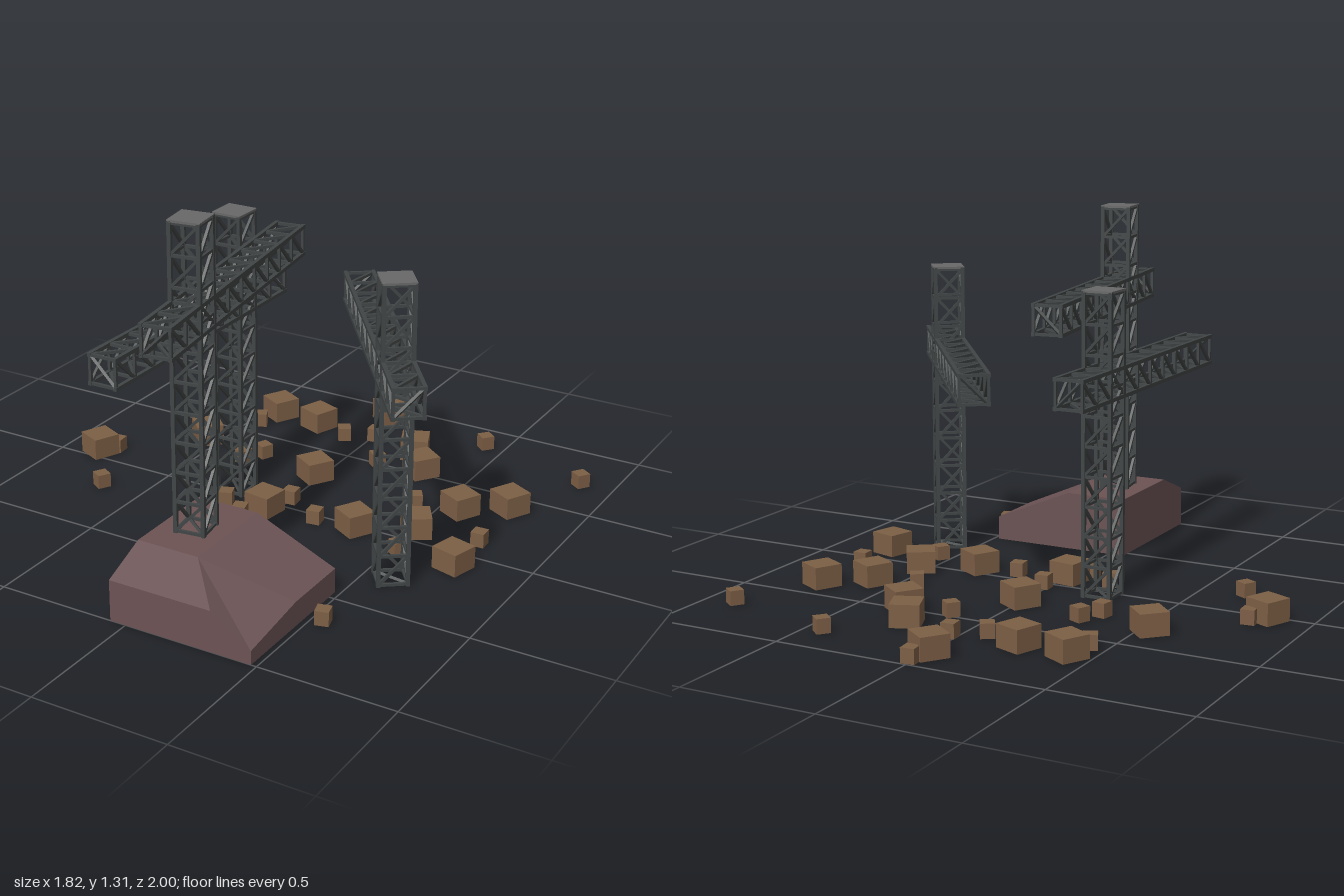
import * as THREE from 'three';
import { mergeGeometries } from 'three/addons/utils/BufferGeometryUtils.js';

const steel = new THREE.MeshStandardMaterial({ color: 0x414545 });
const plate = new THREE.MeshStandardMaterial({ color: 0x686868 });
const wood = new THREE.MeshStandardMaterial({ color: 0x7d5f46 });
const stone = new THREE.MeshStandardMaterial({ color: 0x6c5354, flatShading: true });

const WIDTH = 0.115, LENGTH = 1.09, CELLS = 10, CHORD = 0.014, BRACE = 0.01;

// Square bar between two points
function bar(a, b, t) {
  const dir = new THREE.Vector3().subVectors(b, a);
  const g = new THREE.BoxGeometry(t, dir.length(), t);
  g.applyQuaternion(new THREE.Quaternion().setFromUnitVectors(new THREE.Vector3(0, 1, 0), dir.normalize()));
  const mid = new THREE.Vector3().addVectors(a, b).multiplyScalar(0.5);
  return g.translate(mid.x, mid.y, mid.z);
}

// Lattice beam standing on the origin along +y
function trussGeometry() {
  const r = (WIDTH - CHORD) / 2, low = CHORD / 2, step = (LENGTH - CHORD) / CELLS;
  const corners = [[r, r], [r, -r], [-r, -r], [-r, r]];
  const at = (k, level) => new THREE.Vector3(corners[k % 4][0], low + level * step, corners[k % 4][1]);
  const parts = [];
  for (let k = 0; k < 4; k++) {
    const chord = new THREE.BoxGeometry(CHORD, LENGTH, CHORD);
    parts.push(chord.translate(corners[k][0], LENGTH / 2, corners[k][1]));
    for (let i = 0; i <= CELLS; i++) {
      parts.push(bar(at(k, i), at(k + 1, i), BRACE));
      if (i < CELLS) parts.push(bar(at(k, i), at(k + 1, i + 1), BRACE));
    }
  }
  // Diagonals across both ends
  for (const end of [0, CELLS]) parts.push(bar(at(0, end), at(2, end), BRACE));
  return mergeGeometries(parts);
}

function makeCrane(truss, x, y, z, heading) {
  const crane = new THREE.Group();
  crane.name = 'towerCrane';
  const mast = new THREE.Mesh(truss, steel);
  mast.name = 'mast';
  const jib = new THREE.Mesh(truss, steel);
  jib.name = 'jib';
  jib.rotation.x = Math.PI / 2;
  jib.position.set(0, 0.767, -0.27);
  const cap = new THREE.Mesh(new THREE.BoxGeometry(WIDTH, 0.008, WIDTH), plate);
  cap.name = 'mastCap';
  cap.position.y = LENGTH;
  crane.add(mast, jib, cap);
  crane.position.set(x, y, z);
  crane.rotation.y = heading;
  return crane;
}

// Mound with a flat top sloping off to the front and to its left
function moundGeometry() {
  const p = [
    [-0.06, 0, 0.46], [0.48, 0, 0.46], [0.48, 0, 1], [-0.06, 0, 1],                 // 0-3 base
    [-0.06, 0.22, 0.46], [0.175, 0.22, 0.46], [0.175, 0.22, 0.83], [-0.06, 0.22, 0.83], // 4-7 plateau
    [-0.06, 0.15, 1], [0.33, 0.15, 1], [0.48, 0.05, 1],                              // 8-10 front rim
    [0.48, 0.09, 0.72], [0.48, 0.09, 0.46], [0.175, 0.22, 0.63],                     // 11-13 side rim
  ];
  const faces = [
    [0, 1, 2, 3], [4, 7, 6, 13, 5], [7, 8, 9, 6], [6, 9, 10], [6, 10, 11], [6, 11, 13],
    [13, 11, 12, 5], [3, 2, 10, 9, 8], [2, 1, 12, 11, 10], [1, 0, 4, 5, 12], [0, 3, 8, 7, 4],
  ];
  const pos = [];
  for (const f of faces)
    for (let i = 1; i < f.length - 1; i++) pos.push(...p[f[0]], ...p[f[i]], ...p[f[i + 1]]);
  const g = new THREE.BufferGeometry();
  g.setAttribute('position', new THREE.Float32BufferAttribute(pos, 3));
  g.computeVertexNormals();
  return g;
}

// Crates: x, z, turn in degrees
const bigCrates = [
  [-0.02, -0.89, -36], [-0.42, -0.7, -28], [-0.235, -0.685, -20], [0.22, -0.64, 22], [0.315, -0.505, -36],
  [-0.545, -0.345, 45], [0.735, -0.39, -28], [0.585, -0.285, -28], [-0.015, -0.27, -32], [0.52, -0.06, 32],
  [-0.845, -0.04, -24], [0.745, 0.1, -15], [0.32, 0.03, -30], [-0.035, 0.065, -8],
];
const smallCrates = [
  [0, -0.97, 5], [0.425, -0.845, -40], [0.875, -0.72, -35], [0.02, -0.69, 5], [-0.09, -0.635, 32],
  [-0.445, -0.585, 25], [0.135, -0.49, -40], [-0.28, -0.335, -25], [-0.325, -0.255, -10], [0.42, -0.25, 32],
  [-0.8, -0.095, 5], [0.75, -0.1, 3], [0.165, 0.045, 8], [-0.67, 0.195, -30], [-0.085, 0.155, 15],
  [0.545, 0.655, 15], [0.01, -0.05, 5], [-0.19, 0.08, 20], [0.535, 0.11, -35],
];

function addCrates(group, list, name, width, height) {
  const geo = new THREE.BoxGeometry(width, height, width);
  for (const [x, z, turn] of list) {
    const crate = new THREE.Mesh(geo, wood);
    crate.name = name;
    crate.position.set(x, height / 2, z);
    crate.rotation.y = THREE.MathUtils.degToRad(turn);
    group.add(crate);
  }
}

export function createModel() {
  const model = new THREE.Group();
  model.name = 'constructionSite';

  const truss = trussGeometry();
  model.add(
    makeCrane(truss, -0.22, 0, -0.04, 0),
    makeCrane(truss, 0.06, 0.22, 0.663, -3.002),
    makeCrane(truss, 0.598, 0, 0.284, -2.498),
  );

  const mound = new THREE.Mesh(moundGeometry(), stone);
  mound.name = 'mound';
  model.add(mound);

  const crates = new THREE.Group();
  crates.name = 'crates';
  addCrates(crates, bigCrates, 'bigCrate', 0.105, 0.082);
  addCrates(crates, smallCrates, 'smallCrate', 0.05, 0.053);
  model.add(crates);
  return model;
}
